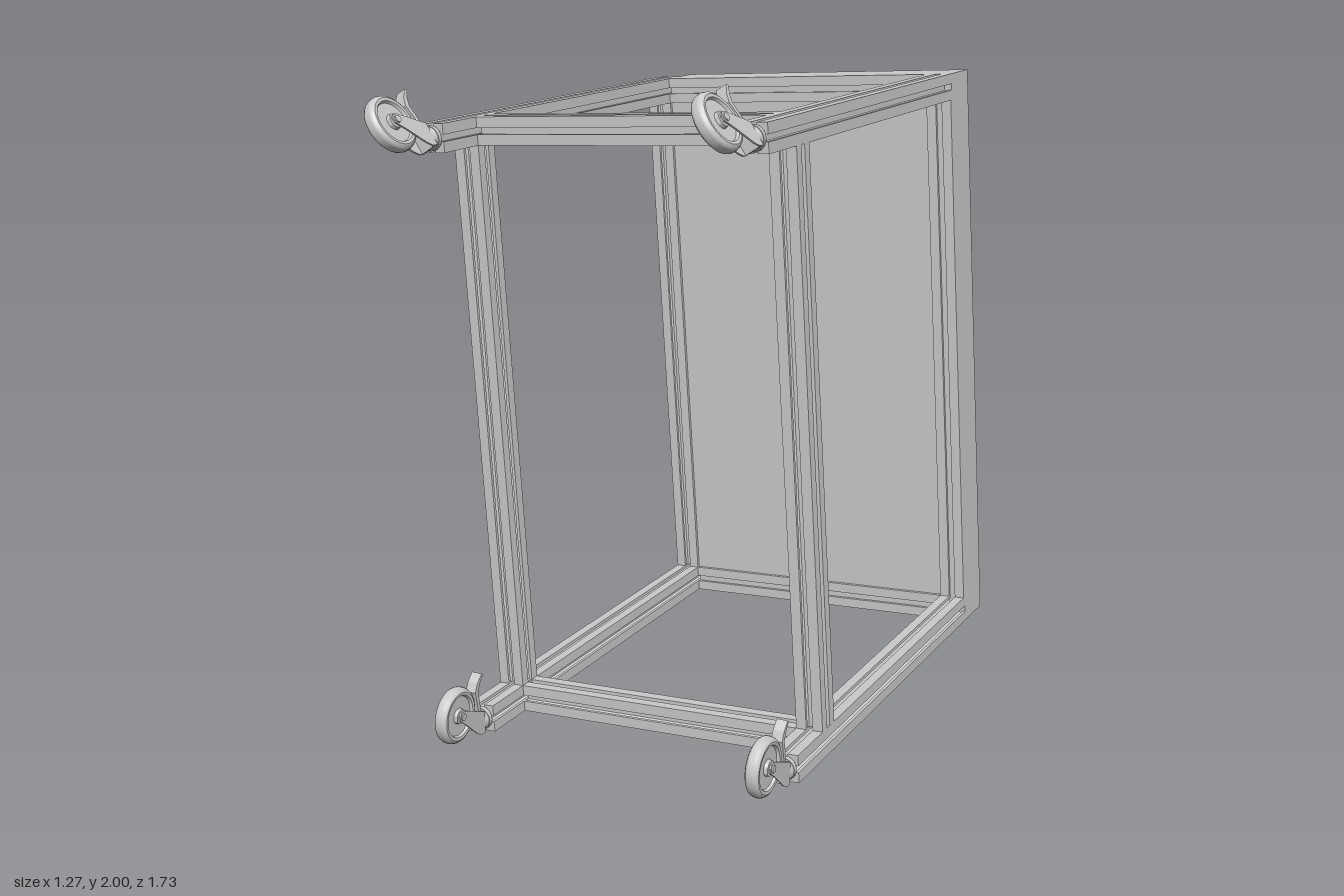
import * as THREE from 'three';
import { toCreasedNormals } from 'three/addons/utils/BufferGeometryUtils.js';

const MAT = new THREE.MeshStandardMaterial({ color: 0xcccccc });
const W = 1.10, H = 1.843, S = 0.083;   // frame width, frame height, beam size
const TILT = THREE.MathUtils.degToRad(3.6);
const Z_BACK = -0.79, Z_END = 0.638;    // extent of the long legs

function add(parent, name, geometry) {
  const mesh = new THREE.Mesh(geometry, MAT);
  mesh.name = name;
  parent.add(mesh);
  return mesh;
}

// Slotted square beam profile: one side repeated four times
function beamShape() {
  const h = S / 2;
  const side = [
    [-h, -h], [-0.01, -h], [-0.01, -h + 0.01], [-0.02, -h + 0.01], [-0.011, -0.018],
    [0.011, -0.018], [0.02, -h + 0.01], [0.01, -h + 0.01], [0.01, -h],
  ];
  const points = [];
  for (let i = 0; i < 4; i++) {
    for (const [x, y] of side) {
      points.push(new THREE.Vector2(x, y).rotateAround(new THREE.Vector2(), i * Math.PI / 2));
    }
  }
  return new THREE.Shape(points);
}

// Beam centred on the origin, running along the given axis
function beam(length, axis) {
  const g = new THREE.ExtrudeGeometry(beamShape(), { depth: length, bevelEnabled: false });
  g.translate(0, 0, -length / 2);
  if (axis === 'x') g.rotateY(Math.PI / 2);
  if (axis === 'y') g.rotateX(-Math.PI / 2);
  return g;
}

// Plate drawn in the (y, z) plane with thickness along x, centred on x
function plate(points, thickness, x) {
  const shape = new THREE.Shape(points.map(([a, b]) => new THREE.Vector2(a, b)));
  const g = new THREE.ExtrudeGeometry(shape, { depth: thickness, bevelEnabled: false });
  g.translate(0, 0, -thickness / 2);
  g.applyMatrix4(new THREE.Matrix4().makeBasis(
    new THREE.Vector3(0, 1, 0), new THREE.Vector3(0, 0, 1), new THREE.Vector3(1, 0, 0)));
  return g.translate(x, 0, 0);
}

// Swivel caster: stem along +z, wheel trailing towards +y
function caster() {
  const group = new THREE.Group();
  group.name = 'caster';
  const trail = 0.064, drop = 0.142;

  add(group, 'swivelBase', new THREE.CylinderGeometry(0.036, 0.036, 0.014, 28)
    .rotateX(Math.PI / 2).translate(0, 0, 0.007));
  add(group, 'swivelBearing', new THREE.CylinderGeometry(0.03, 0.034, 0.016, 28)
    .rotateX(Math.PI / 2).translate(0, 0, 0.022));
  add(group, 'forkCrown', new THREE.BoxGeometry(0.058, 0.068, 0.012).translate(0, 0.002, 0.034));

  for (const s of [-1, 1]) {
    add(group, 'forkArm', plate([
      [-0.032, 0.03], [0.036, 0.03], [0.06, 0.085], [0.08, 0.132], [0.08, 0.15],
      [0.07, 0.159], [0.056, 0.157], [0.03, 0.125], [-0.02, 0.07], [-0.032, 0.05],
    ], 0.005, s * 0.0275));
  }

  // Wheel with rounded tread, recessed web and hub
  const half = [
    [0.006, 0.023], [0.022, 0.023], [0.024, 0.012], [0.06, 0.012],
    [0.064, 0.02], [0.073, 0.021], [0.081, 0.016], [0.085, 0.008],
  ];
  const profile = [
    ...half.map(([r, y]) => new THREE.Vector2(r, -y)),
    new THREE.Vector2(0.086, 0),
    ...half.slice().reverse().map(([r, y]) => new THREE.Vector2(r, y)),
  ];
  const wheel = new THREE.LatheGeometry(profile, 40).rotateZ(Math.PI / 2);
  add(group, 'wheel', toCreasedNormals(wheel, 0.6)).position.set(0, trail, drop);
  add(group, 'axle', new THREE.CylinderGeometry(0.011, 0.011, 0.068, 16).rotateZ(Math.PI / 2))
    .position.set(0, trail, drop);

  // Brake lever with a turned-up pedal
  add(group, 'brakeLever', plate([
    [0.03, 0.03], [0.07, 0.036], [0.1, 0.042], [0.125, 0.033], [0.15, 0.014],
    [0.154, 0.022], [0.13, 0.046], [0.104, 0.058], [0.07, 0.05], [0.03, 0.042],
  ], 0.034, 0));
  return group;
}

export function createModel() {
  const model = new THREE.Group();
  model.name = 'wheeledTable';

  // Whole table leans slightly about its long leg axis
  const table = new THREE.Group();
  table.name = 'table';
  table.position.set(0.025, 0.9575, 0);
  table.rotation.z = TILT;
  model.add(table);

  const cx = W / 2 - S / 2, cy = H / 2 - S / 2;

  // Tabletop slab, flush with one side and leaving the other side's beams exposed
  add(table, 'tabletop', new THREE.BoxGeometry(W - S, H, 0.15)).position.set(S / 2, 0, -0.793);

  // Four long legs, each ending in a caster
  for (const sx of [-1, 1]) {
    for (const sy of [-1, 1]) {
      add(table, 'leg', beam(Z_END - Z_BACK, 'z'))
        .position.set(sx * cx, sy * cy, (Z_END + Z_BACK) / 2);
      const c = caster();
      c.position.set(sx * cx, sy * cy, Z_END);
      c.rotation.z = (sy > 0 ? THREE.MathUtils.degToRad(33) : 0) - TILT;
      table.add(c);
    }
  }

  // Rectangular rings of cross beams between the legs
  for (const z of [Z_BACK + S / 2, 0.427]) {
    for (const s of [-1, 1]) {
      add(table, 'longRail', beam(H - 2 * S, 'y')).position.set(s * cx, 0, z);
      add(table, 'shortRail', beam(W - 2 * S, 'x')).position.set(0, s * cy, z);
    }
  }
  return model;
}
